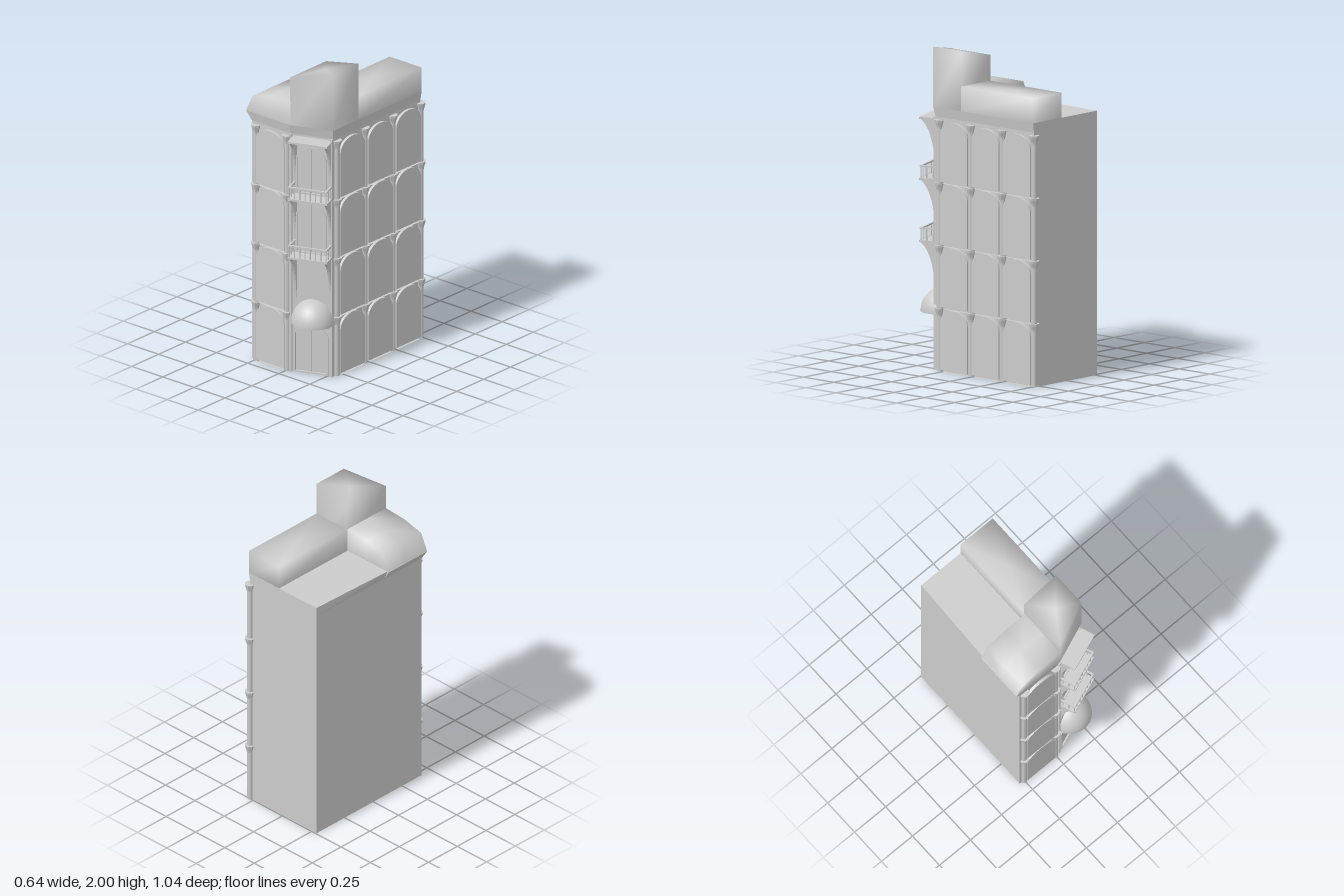
import * as THREE from 'three';

const GREY = new THREE.MeshStandardMaterial({ color: 0xcccccc });
const THIN = new THREE.MeshStandardMaterial({ color: 0xcccccc, side: THREE.DoubleSide });
const STOREY = 0.388;
const BASE = 1.63; // eave height

function add(parent, name, geometry, x = 0, y = 0, z = 0, material = GREY) {
  const mesh = new THREE.Mesh(geometry, material);
  mesh.name = name;
  mesh.position.set(x, y, z);
  parent.add(mesh);
  return mesh;
}

function group(parent, name, x = 0, y = 0, z = 0, turn = 0) {
  const g = new THREE.Group();
  g.name = name;
  g.position.set(x, y, z);
  g.rotation.y = turn;
  parent.add(g);
  return g;
}

const box = (w, h, d) => new THREE.BoxGeometry(w, h, d);

// Walls between two rings of [x, y, z] points, closed by a fan on top (and below if flat)
function solid(bottom, top, centre, smooth) {
  const n = bottom.length, index = [];
  const floor = [centre[0], bottom[0][1], centre[2]];
  for (let i = 0; i < n; i++) {
    const j = (i + 1) % n;
    index.push(i, j, n + j, i, n + j, n + i, n + i, n + j, 2 * n);
    if (!smooth) index.push(j, i, 2 * n + 1);
  }
  let g = new THREE.BufferGeometry();
  g.setAttribute('position', new THREE.Float32BufferAttribute([...bottom, ...top, centre, floor].flat(), 3));
  g.setIndex(index);
  if (!smooth) g = g.toNonIndexed();
  g.computeVertexNormals();
  return g;
}

const ring = (outline, y) => outline.map(([x, z, h]) => [x, y ?? h, z]);

// Arched outline: round (elliptical) or pointed
function arch(w, y0, spring, top, pointed = false) {
  const s = new THREE.Shape();
  s.moveTo(-w, y0);
  s.lineTo(w, y0);
  s.lineTo(w, spring);
  if (pointed) {
    s.quadraticCurveTo(w * 0.7, spring + (top - spring) * 0.6, 0, top);
    s.quadraticCurveTo(-w * 0.7, spring + (top - spring) * 0.6, -w, spring);
  } else {
    s.absellipse(0, spring, w, top - spring, 0, Math.PI, false);
  }
  s.closePath();
  return s;
}

function archFrame(outer, inner, depth) {
  outer.holes.push(inner);
  return new THREE.ExtrudeGeometry(outer, { depth, bevelEnabled: false, curveSegments: 10 });
}

// One window bay: arch moulding, window frame and glazing bars
function bay(parent, x, y) {
  const g = group(parent, 'windowBay', x, y, 0);
  add(g, 'archMoulding', archFrame(arch(0.113, 0.01, 0.3, 0.384), arch(0.1, 0, 0.3, 0.37), 0.018));
  add(g, 'windowFrame', archFrame(arch(0.076, 0.04, 0.275, 0.345), arch(0.064, 0.052, 0.275, 0.333), 0.01));
  add(g, 'mullion', box(0.012, 0.28, 0.008), 0, 0.19, 0.004);
  add(g, 'transom', box(0.13, 0.012, 0.008), 0, 0.15, 0.004);
  add(g, 'upperTransom', box(0.13, 0.012, 0.008), 0, 0.265, 0.004);
}

// Engaged column running the full height, with a capital at each storey
function column(parent, x, z) {
  const g = group(parent, 'column', x, 0, z);
  add(g, 'shaft', new THREE.CylinderGeometry(0.019, 0.019, 4 * STOREY, 8).toNonIndexed(), 0, 2 * STOREY, 0);
  const profile = [[0, 0.338], [0.021, 0.338], [0.023, 0.35], [0.032, 0.378], [0.034, 0.39], [0, 0.39]];
  for (let i = 0; i < 4; i++) {
    const cap = new THREE.LatheGeometry(profile.map(([r, y]) => new THREE.Vector2(r, y)), 8, Math.PI / 8).toNonIndexed();
    cap.computeVertexNormals();
    add(g, 'capital', cap, 0, i * STOREY, 0);
  }
}

// Slab on two curved brackets, with an optional balustrade
function balcony(parent, y, railed) {
  const g = group(parent, railed ? 'balcony' : 'upperCanopy', 0.012, y, 0);
  add(g, 'slab', box(0.256, 0.012, 0.115), 0, 0.006, 0.05);
  const s = new THREE.Shape();
  s.moveTo(-0.005, 0);
  s.lineTo(0.102, 0);
  s.quadraticCurveTo(0.018, -0.06, 0.006, -0.29);
  s.lineTo(-0.005, -0.29);
  for (const side of [-1, 1]) {
    const b = new THREE.ExtrudeGeometry(s, { depth: 0.014, bevelEnabled: false, curveSegments: 10 });
    b.rotateY(-Math.PI / 2);
    add(g, 'bracket', b, side * 0.113 + 0.007, 0, 0);
  }
  if (!railed) return;
  add(g, 'frontRail', box(0.25, 0.009, 0.012), 0, 0.085, 0.099);
  for (let i = 0; i < 8; i++) {
    add(g, 'baluster', new THREE.CylinderGeometry(0.004, 0.004, 0.075, 6), -0.119 + i * 0.034, 0.048, 0.099);
  }
  for (const side of [-1, 1]) {
    add(g, 'sideRail', box(0.012, 0.009, 0.1), side * 0.119, 0.085, 0.05);
    for (const z of [0.02, 0.06]) {
      add(g, 'baluster', new THREE.CylinderGeometry(0.004, 0.004, 0.075, 6), side * 0.119, 0.048, z);
    }
  }
}

// Pointed double door or balcony window
function doubleDoor(parent, name, y, w, height) {
  const g = group(parent, name, 0, y, 0);
  const spring = height * 0.76;
  add(g, 'frame', archFrame(arch(w, 0.005, spring, height, true), arch(w - 0.012, 0.015, spring, height - 0.014, true), 0.012));
  add(g, 'meetingStile', box(0.008, height - 0.02, 0.008), 0, height / 2, 0.004);
}

export function createModel() {
  const model = new THREE.Group();
  model.name = 'cornerBuilding';

  // Main block with its corner cut off, and flaring cornice
  const plan = [[-0.285, 0.42], [0.02, 0.42], [0.28, 0.32], [0.28, -0.495], [-0.285, -0.495], [-0.285, 0.1], [-0.285, 0.11]];
  const eave = [[-0.32, 0.432], [0.03, 0.432], [0.29, 0.33], [0.29, -0.495], [-0.285, -0.495], [-0.305, 0.1], [-0.32, 0.1]];
  add(model, 'mainBlock', solid(ring(plan, 0), ring(plan, 1.575), [0, 1.575, 0], false));
  add(model, 'cornice', solid(ring(plan, 1.57), ring(eave, BASE), [0, BASE, 0], false));

  // Roof: front wing, side wing and corner tower
  const profile = [[-0.32, 1.632], [-0.27, 1.74], [-0.13, 1.775], [0.035, 1.785]];
  const depths = [0.1, 0.1, 0.265, 0.432, 0.432];
  const wing = new THREE.PlaneGeometry(1, 1, 3, 4);
  for (let row = 0; row < 5; row++) {
    profile.forEach(([x, h], i) => {
      wing.attributes.position.setXYZ(row * 4 + i, x, row % 4 ? h : BASE, depths[row]);
    });
  }
  wing.computeVertexNormals();
  add(model, 'frontRoof', wing, 0, 0, 0, THIN);
  const strip = [[0.032, 0.1], [0.29, 0.1], [0.29, -0.495], [0.032, -0.495]];
  add(model, 'sideRoof', solid(ring(strip, BASE), ring(strip, 1.785), [0.16, 1.785, -0.2], true));
  const tower = [[0.032, 0.432, 1.945], [0.29, 0.33, 2], [0.29, 0.095, 2], [0.032, 0.095, 1.945]];
  add(model, 'cornerTower', solid(ring(tower, BASE), ring(tower), [0.15, 1.972, 0.25], true));

  // Street fronts
  const front = group(model, 'frontFacade', -0.125, 0, 0.42);
  const side = group(model, 'sideFacade', 0.28, 0, -0.105, Math.PI / 2);
  for (let i = 0; i < 4; i++) {
    bay(front, 0, i * STOREY);
    for (const x of [-0.26, 0, 0.26]) bay(side, x, i * STOREY);
  }
  for (const x of [-0.125, 0.125]) column(front, x, 0);
  for (let i = 0; i < 4; i++) column(side, -0.39 + i * 0.26, 0);

  // Cut corner: entrance, domed canopy and balconies
  const corner = group(model, 'cornerFacade', 0.15, 0, 0.37, Math.atan2(0.1, 0.26));
  doubleDoor(corner, 'entrance', 0, 0.112, 0.345);
  doubleDoor(corner, 'balconyDoor', 0.79, 0.098, 0.345);
  doubleDoor(corner, 'balconyDoor', 1.18, 0.098, 0.325);
  for (const x of [-0.131, 0.131]) add(corner, 'cornerPost', box(0.016, 1.57, 0.016), x, 0.785, 0.004);
  add(corner, 'domedCanopy', new THREE.SphereGeometry(0.138, 24, 8, 0, Math.PI * 2, 0, Math.PI / 2).scale(1, 1.08, 1), 0.014, 0.345, 0, THIN);
  balcony(corner, 0.784, true);
  balcony(corner, 1.17, true);
  balcony(corner, 1.547, false);

  return model;
}
